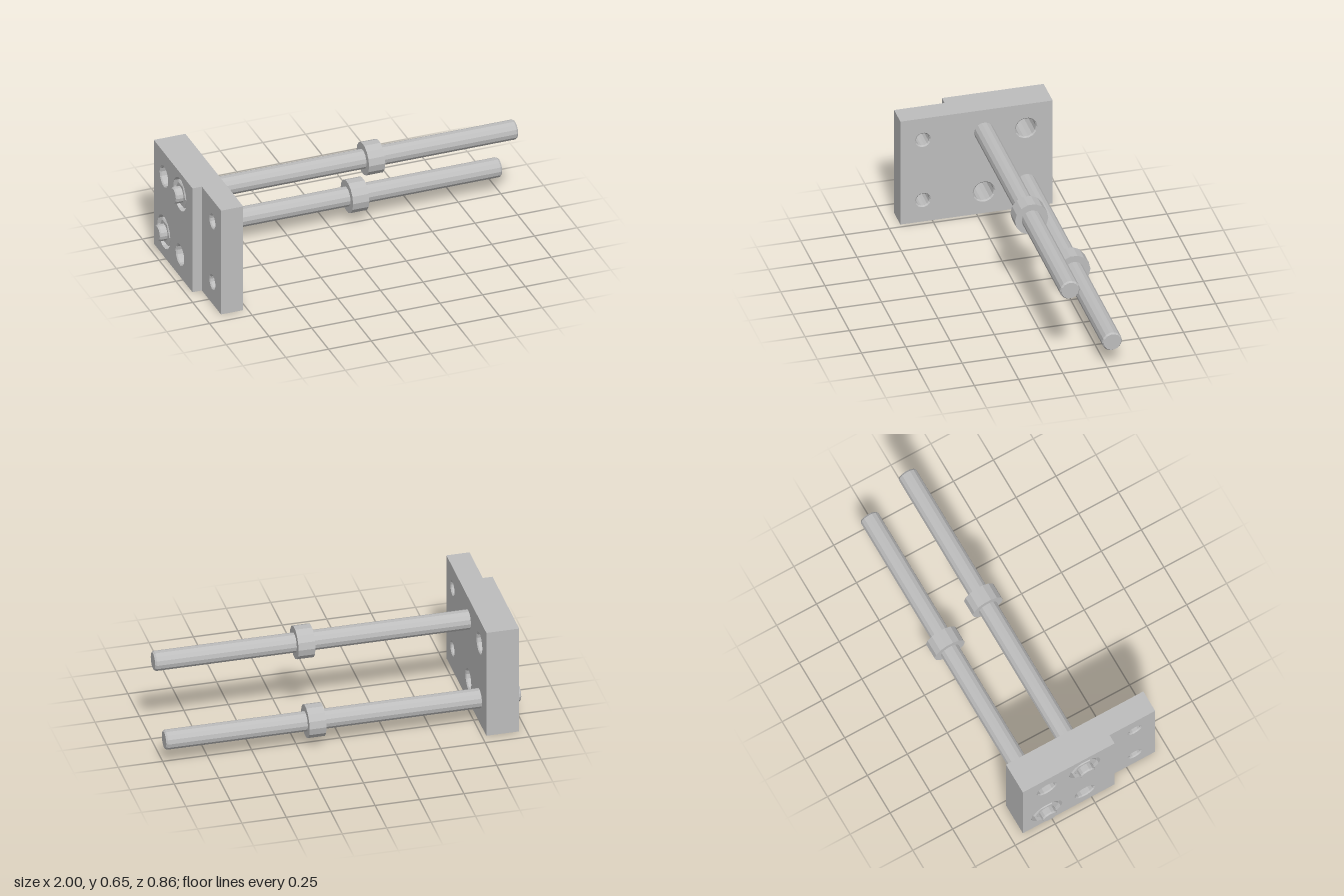
import * as THREE from 'three';

const SIDES = 14;

export function createModel() {
  const group = new THREE.Group();
  const steel = new THREE.MeshStandardMaterial({ color: 0xbdbdbd, flatShading: true });
  steel.name = 'steel grey';

  const X_BACK = -0.96, X_SEAT = -0.905, X_FRONT = -0.775;
  const smallHoles = [[0.515, 0.302], [0.135, 0.302]]; // [y, z]
  const largeHoles = [[0.5, -0.28], [0.135, -0.042]];
  const rods = [[0.515, -0.042], [0.153, -0.28]];

  const add = (name, geometry, y = 0, z = 0) => {
    const mesh = new THREE.Mesh(geometry, steel);
    mesh.name = name;
    mesh.position.set(0, y, z);
    group.add(mesh);
    return mesh;
  };

  // Turned part along x, from [x, radius] pairs
  const turned = (profile, sides = SIDES) =>
    new THREE.LatheGeometry(profile.map(([x, r]) => new THREE.Vector2(r, x)), sides).rotateZ(-Math.PI / 2);

  // Slab between two x values and two z values, with round holes through it
  const slab = (name, x0, x1, z0, z1, holes) => {
    const shape = new THREE.Shape([[-z1, 0], [-z0, 0], [-z0, 0.65], [-z1, 0.65]].map(p => new THREE.Vector2(...p)));
    for (const [list, r] of holes) {
      for (const [y, z] of list) {
        const points = [];
        for (let i = 0; i < SIDES; i++) {
          const a = (i / SIDES) * Math.PI * 2;
          points.push(new THREE.Vector2(-z + r * Math.cos(a), y + r * Math.sin(a)));
        }
        shape.holes.push(new THREE.Path(points));
      }
    }
    const geometry = new THREE.ExtrudeGeometry(shape, { depth: x1 - x0, bevelEnabled: false });
    add(name, geometry.rotateY(Math.PI / 2).translate(x0, 0, 0));
  };

  // Stepped end plate, with round nut seats in its thick part
  slab('plateBackLayer', X_BACK, X_SEAT, -0.43, 0.145, [[largeHoles, 0.064], [rods, 0.098]]);
  slab('plateFrontLayer', X_SEAT, X_FRONT, -0.43, 0.145, [[largeHoles, 0.064]]);
  slab('plateThinFlange', X_SEAT, X_FRONT, 0.145, 0.43, [[smallHoles, 0.045]]);

  // Chamfered bores, facing inwards
  const bore = (name, list, x0, r) => {
    const c = 0.007;
    const profile = [[X_FRONT, r], [X_FRONT - c, r - c], [x0 + c, r - c], [x0, r]];
    for (const [y, z] of list) add(name, turned(profile), y, z);
  };
  bore('largeBore', largeHoles, X_BACK, 0.064);
  bore('smallBore', smallHoles, X_SEAT, 0.045);

  // Guide rods, each with a threaded end, nut and collar
  for (const [y, z] of rods) {
    add('rod', turned([[X_FRONT - 0.02, 0], [X_FRONT - 0.02, 0.056], [0.99, 0.056], [1, 0.049], [1, 0]]), y, z);
    add('rodStud', turned([[-1, 0], [-1, 0.041], [-0.992, 0.047], [X_SEAT, 0.047]]), y, z);
    add('hexNut', turned([[-0.957, 0], [-0.957, 0.07], [-0.95, 0.08], [X_SEAT, 0.08]], 6), y, z);
    add('collar', turned([[0.11, 0.05], [0.11, 0.094], [0.205, 0.094], [0.205, 0.05]]), y, z);
  }

  return group;
}
